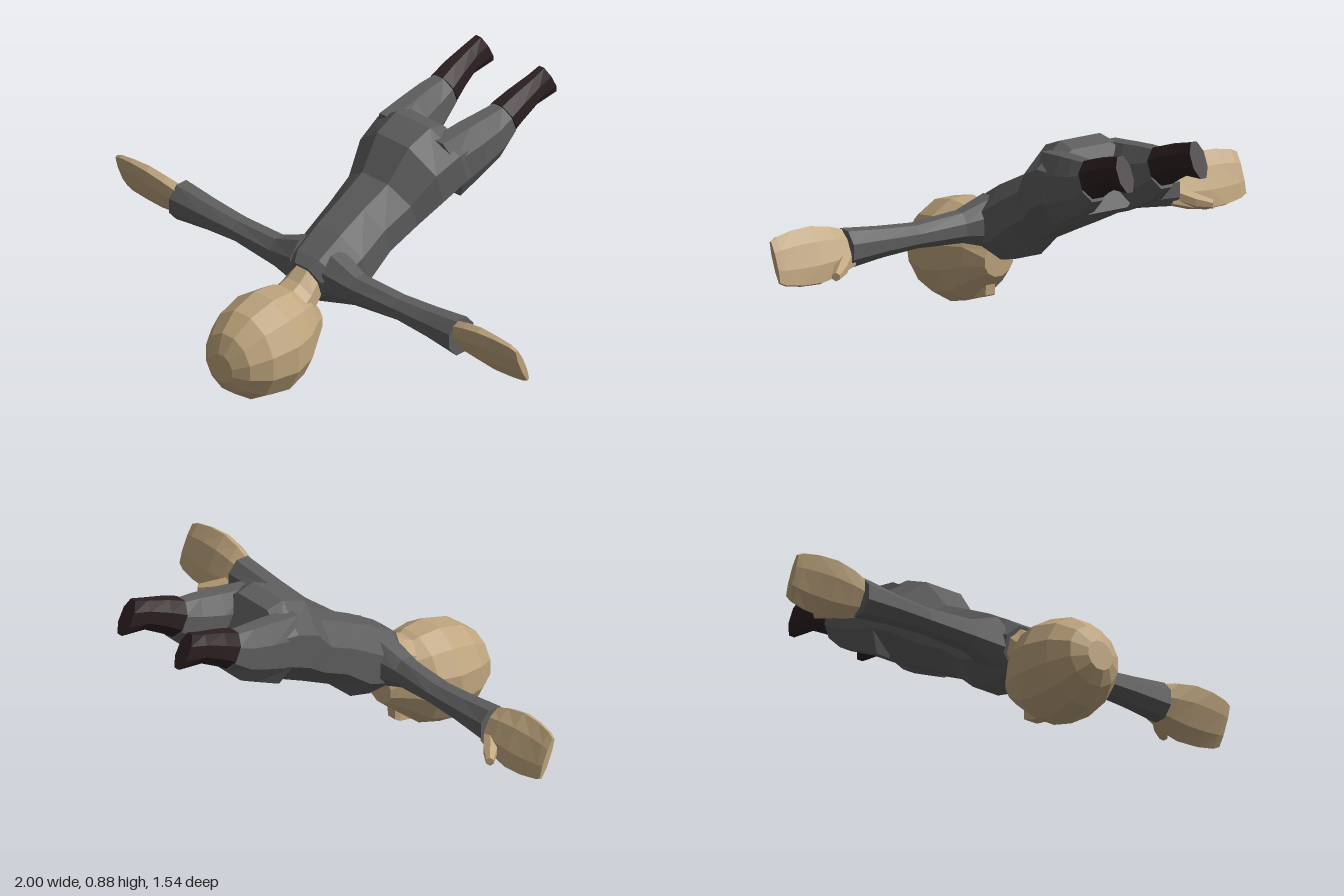
import * as THREE from 'three';

const mat = (name, color) => {
  const m = new THREE.MeshStandardMaterial({ color });
  m.name = name;
  m.flatShading = true;
  return m;
};

// Ring of n points around centre c, with half axes a and b; flat sides face the axes.
function ring(c, a, b, n = 8) {
  const pts = [];
  const k = 1 / Math.cos(Math.PI / n);
  for (let i = 0; i < n; i++) {
    const t = ((i + 0.5) / n) * Math.PI * 2;
    const u = Math.cos(t) * k, v = Math.sin(t) * k;
    pts.push(new THREE.Vector3(
      c[0] + a[0] * u + b[0] * v,
      c[1] + a[1] * u + b[1] * v,
      c[2] + a[2] * u + b[2] * v));
  }
  return pts;
}

// Section of the body: upper and lower points given as [z, y], half width w around x = cx.
function slice(cx, w, [zt, yt], [zb, yb], n = 8) {
  return ring([cx, (yt + yb) / 2, (zt + zb) / 2], [w, 0, 0],
    [0, (yt - yb) / 2, (zt - zb) / 2], n);
}

// Faceted skin over a row of rings, closed at both ends and turned outward.
function loft(rings) {
  const tris = [];
  const n = rings[0].length;
  for (let r = 0; r < rings.length - 1; r++) {
    for (let i = 0; i < n; i++) {
      const j = (i + 1) % n;
      const p = rings[r], q = rings[r + 1];
      tris.push([p[i], p[j], q[j]], [p[i], q[j], q[i]]);
    }
  }
  const first = rings[0], last = rings[rings.length - 1];
  for (let i = 1; i < n - 1; i++) {
    tris.push([first[0], first[i + 1], first[i]], [last[0], last[i], last[i + 1]]);
  }
  const o = first[0];
  let volume = 0;
  for (const [a, b, c] of tris) {
    volume += a.clone().sub(o).dot(b.clone().sub(o).cross(c.clone().sub(o)));
  }
  const pts = [];
  for (const [a, b, c] of tris) pts.push(...(volume < 0 ? [a, c, b] : [a, b, c]));
  const g = new THREE.BufferGeometry().setFromPoints(pts);
  g.computeVertexNormals();
  return g;
}

export function createModel() {
  const model = new THREE.Group();
  model.name = 'flyingFigure';
  const suit = mat('suit grey', 0x5e5e5e);
  const skin = mat('skin tan', 0xbfa57e);
  const boot = mat('boot brown', 0x2c1f21);

  const add = (name, rings, material) => {
    const mesh = new THREE.Mesh(loft(rings), material);
    mesh.name = name;
    model.add(mesh);
  };

  // Torso, from collar to seat
  add('torso', [
    slice(0, 0.08, [0.36, 0.43], [0.31, 0.28]),
    slice(0, 0.13, [0.325, 0.458], [0.22, 0.24]),
    slice(0, 0.14, [0.22, 0.52], [0.127, 0.265]),
    slice(0, 0.14, [0.10, 0.58], [0.025, 0.353]),
    slice(0, 0.155, [-0.016, 0.636], [-0.10, 0.415]),
    slice(0, 0.19, [-0.107, 0.755], [-0.20, 0.465]),
    slice(0, 0.205, [-0.21, 0.797], [-0.31, 0.52]),
    slice(0, 0.195, [-0.28, 0.78], [-0.39, 0.565]),
  ], suit);

  // Head, rounded at the crown and tapering to the chin
  const head = [
    [0.77, 0.055, 0.23, 0.12], [0.735, 0.11, 0.295, 0.07], [0.66, 0.155, 0.353, 0.02],
    [0.55, 0.175, 0.383, 0.0], [0.46, 0.155, 0.378, 0.025], [0.385, 0.11, 0.35, 0.085],
    [0.312, 0.06, 0.265, 0.145],
  ];
  add('head', head.map(([z, w, top, low]) => slice(0, w, [z, top], [z, low], 12)), skin);

  // Neck
  add('neck', [
    slice(0, 0.085, [0.45, 0.365], [0.40, 0.22]),
    slice(0, 0.075, [0.40, 0.385], [0.35, 0.25]),
    slice(0, 0.06, [0.33, 0.44], [0.30, 0.29]),
  ], skin);

  // Nose, on the downward face
  add('nose', [
    slice(0, 0.012, [0.49, 0.06], [0.49, 0.025], 4),
    slice(0, 0.026, [0.39, 0.11], [0.385, 0.052], 4),
    slice(0, 0.02, [0.365, 0.11], [0.367, 0.062], 4),
  ], skin);

  for (const [side, s] of [['left', 1], ['right', -1]]) {
    // Sleeve: x, centre y and z, half height, half depth
    const sleeve = [
      [0.08, 0.38, 0.26, 0.095, 0.075], [0.2, 0.375, 0.268, 0.056, 0.052],
      [0.4, 0.378, 0.258, 0.043, 0.051], [0.55, 0.38, 0.258, 0.053, 0.056],
      [0.7, 0.38, 0.258, 0.07, 0.062],
    ];
    add(side + 'Sleeve', sleeve.map(([x, y, z, hy, hz]) =>
      ring([s * x, y, z], [0, 0, hz], [0, hy, 0])), suit);

    // Flat hand, tilted so that the palm faces down and back
    const hand = [
      [0.68, 0.03, 0.058, 0.03], [0.75, 0.04, 0.08, 0.031], [0.83, 0.045, 0.094, 0.028],
      [0.91, 0.042, 0.092, 0.02], [0.975, 0.035, 0.082, 0.015], [1.0, 0.03, 0.07, 0.011],
    ];
    add(side + 'Hand', hand.map(([x, bz, by, t]) =>
      ring([s * x, 0.378, 0.253], [0, -t * 0.5, t], [0, by, bz])), skin);

    // Thumb
    const thumb = [
      [0.72, 0.35, 0.225, 0.025], [0.765, 0.33, 0.185, 0.024], [0.81, 0.32, 0.145, 0.014],
    ];
    add(side + 'Thumb', thumb.map(([x, y, z, r]) =>
      ring([s * x, y, z], [s * r * 0.7, 0, r * 0.7], [0, r, 0], 6)), skin);

    // Trouser leg
    add(side + 'Leg', [
      slice(s * 0.13, 0.068, [-0.20, 0.765], [-0.29, 0.515]),
      slice(s * 0.138, 0.07, [-0.33, 0.782], [-0.40, 0.567]),
      slice(s * 0.146, 0.062, [-0.42, 0.793], [-0.48, 0.605]),
      slice(s * 0.148, 0.054, [-0.495, 0.8], [-0.545, 0.665]),
    ], suit);

    // Boot, flared toward the sole
    add(side + 'Boot', [
      slice(s * 0.148, 0.058, [-0.49, 0.806], [-0.548, 0.678]),
      slice(s * 0.153, 0.05, [-0.56, 0.832], [-0.59, 0.705]),
      slice(s * 0.158, 0.038, [-0.65, 0.858], [-0.665, 0.745]),
      slice(s * 0.158, 0.03, [-0.705, 0.876], [-0.768, 0.755], 8),
    ], boot);
  }
  return model;
}
